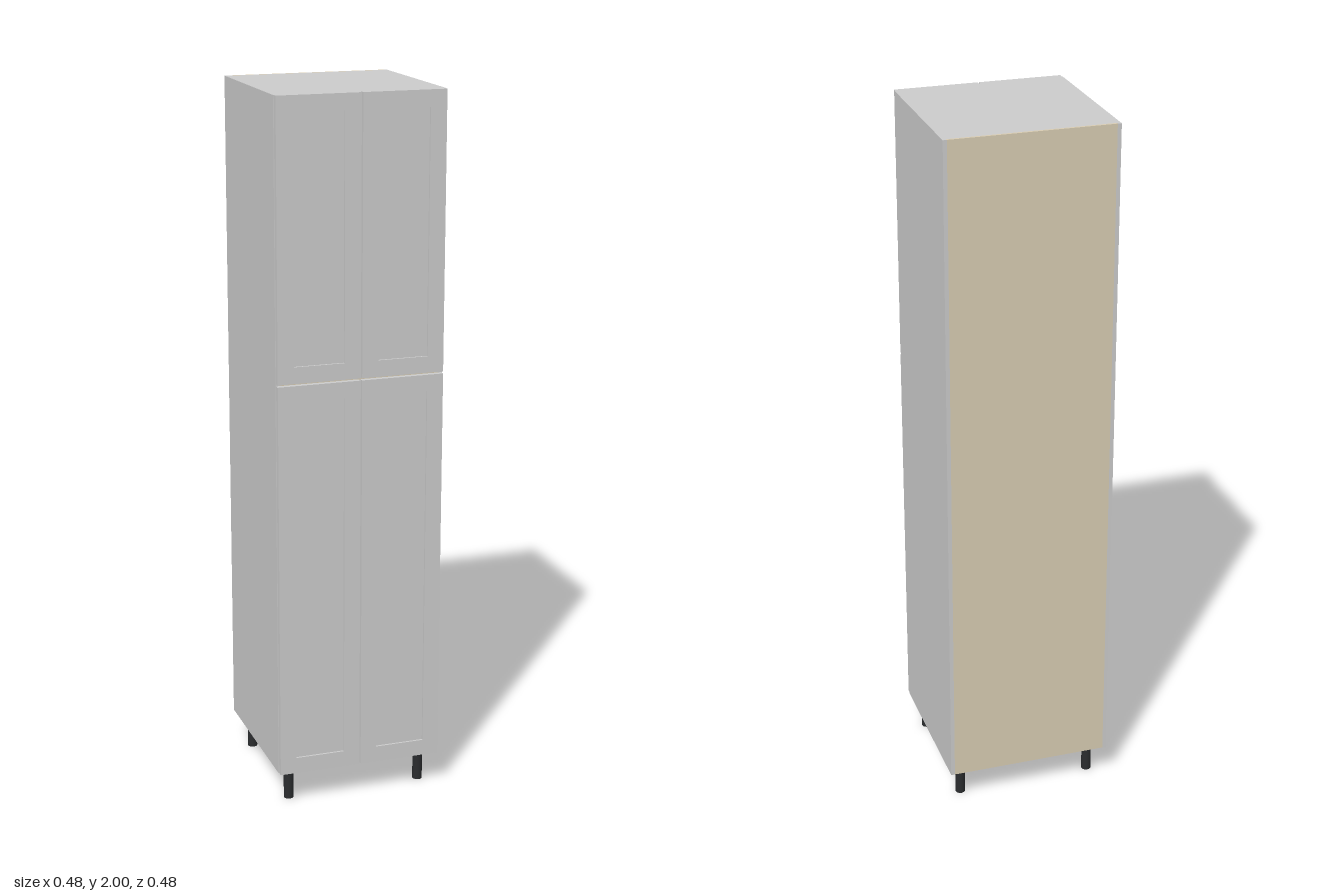
import * as THREE from 'three';

export function createModel() {
  const model = new THREE.Group();
  model.name = 'tallCabinet';
  const grey = new THREE.MeshStandardMaterial({ color: 0xcccccc });
  const wood = new THREE.MeshStandardMaterial({ color: 0xd8ccb2 });
  const black = new THREE.MeshStandardMaterial({ color: 0x2a2c2e });

  const W = 0.238, T = 0.011;               // half width, board thickness
  const Y0 = 0.098, Y1 = 2;                 // carcass bottom and top
  const BACK = -0.238, FACE = 0.222, FRONT = 0.237;

  // Box given by its minimum and maximum corners
  function board(name, material, x0, x1, y0, y1, z0, z1, parent = model) {
    const mesh = new THREE.Mesh(new THREE.BoxGeometry(x1 - x0, y1 - y0, z1 - z0), material);
    mesh.position.set((x0 + x1) / 2, (y0 + y1) / 2, (z0 + z1) / 2);
    mesh.name = name;
    parent.add(mesh);
  }

  // Carcass
  const inner = W - T, backFace = BACK + 0.007;
  board('leftSide', grey, inner, W, Y0, Y1, BACK, FACE);
  board('rightSide', grey, -W, -inner, Y0, Y1, BACK, FACE);
  board('topPanel', grey, -inner, inner, Y1 - T, Y1, backFace, FACE);
  board('bottomPanel', wood, -inner, inner, Y0, Y0 + T, backFace, FACE);
  board('fixedShelf', wood, -inner, inner, 1.22, 1.242, backFace, FACE);
  board('backPanel', wood, -inner, inner, Y0, Y1, BACK, backFace);

  // Framed door with a recessed centre panel
  function door(name, x0, x1, y0, y1) {
    const group = new THREE.Group();
    group.name = name;
    const f = 0.046;
    const shape = new THREE.Shape();
    shape.moveTo(x0, y0).lineTo(x1, y0).lineTo(x1, y1).lineTo(x0, y1).closePath();
    const hole = new THREE.Path();
    hole.moveTo(x0 + f, y0 + f).lineTo(x0 + f, y1 - f).lineTo(x1 - f, y1 - f).lineTo(x1 - f, y0 + f).closePath();
    shape.holes.push(hole);
    const frame = new THREE.Mesh(
      new THREE.ExtrudeGeometry(shape, { depth: FRONT - FACE, bevelEnabled: false }), grey);
    frame.position.z = FACE;
    frame.name = 'doorFrame';
    group.add(frame);
    board('doorPanel', grey, x0 + f, x1 - f, y0 + f, y1 - f, FACE, FRONT - 0.006, group);
    model.add(group);
  }
  for (const [level, y0, y1] of [['lower', Y0, 1.228], ['upper', 1.234, Y1]]) {
    door(level + 'LeftDoor', 0.002, 0.236, y0, y1);
    door(level + 'RightDoor', -0.236, -0.002, y0, y1);
  }

  // Round adjustable legs: foot, shaft, collar and mounting flange
  const profile = [[0, 0], [0.014, 0], [0.014, 0.08], [0.017, 0.08], [0.017, 0.088], [0.023, 0.088], [0.023, Y0], [0, Y0]];
  const points = [];
  profile.forEach(([r, y], i) => {
    points.push(new THREE.Vector2(r, y));
    // Repeated points keep the edges of the profile sharp
    if (i > 0 && i < profile.length - 1) points.push(new THREE.Vector2(r, y));
  });
  const legGeometry = new THREE.LatheGeometry(points, 24);
  // Each profile segment gets its own normals
  const pos = legGeometry.attributes.position, normal = legGeometry.attributes.normal;
  for (let i = 0; i < pos.count; i++) {
    const j = i % points.length, s = j - (j % 2);
    const dr = points[s + 1].x - points[s].x, dy = points[s + 1].y - points[s].y;
    const len = Math.hypot(dr, dy), a = Math.floor(i / points.length) / 24 * Math.PI * 2;
    normal.setXYZ(i, Math.sin(a) * dy / len, -dr / len, Math.cos(a) * dy / len);
  }
  for (const x of [-0.196, 0.196]) {
    for (const z of [-0.184, 0.181]) {
      const leg = new THREE.Mesh(legGeometry, black);
      leg.position.set(x, 0, z);
      leg.name = (z > 0 ? 'front' : 'back') + (x > 0 ? 'Left' : 'Right') + 'Leg';
      model.add(leg);
    }
  }
  return model;
}
